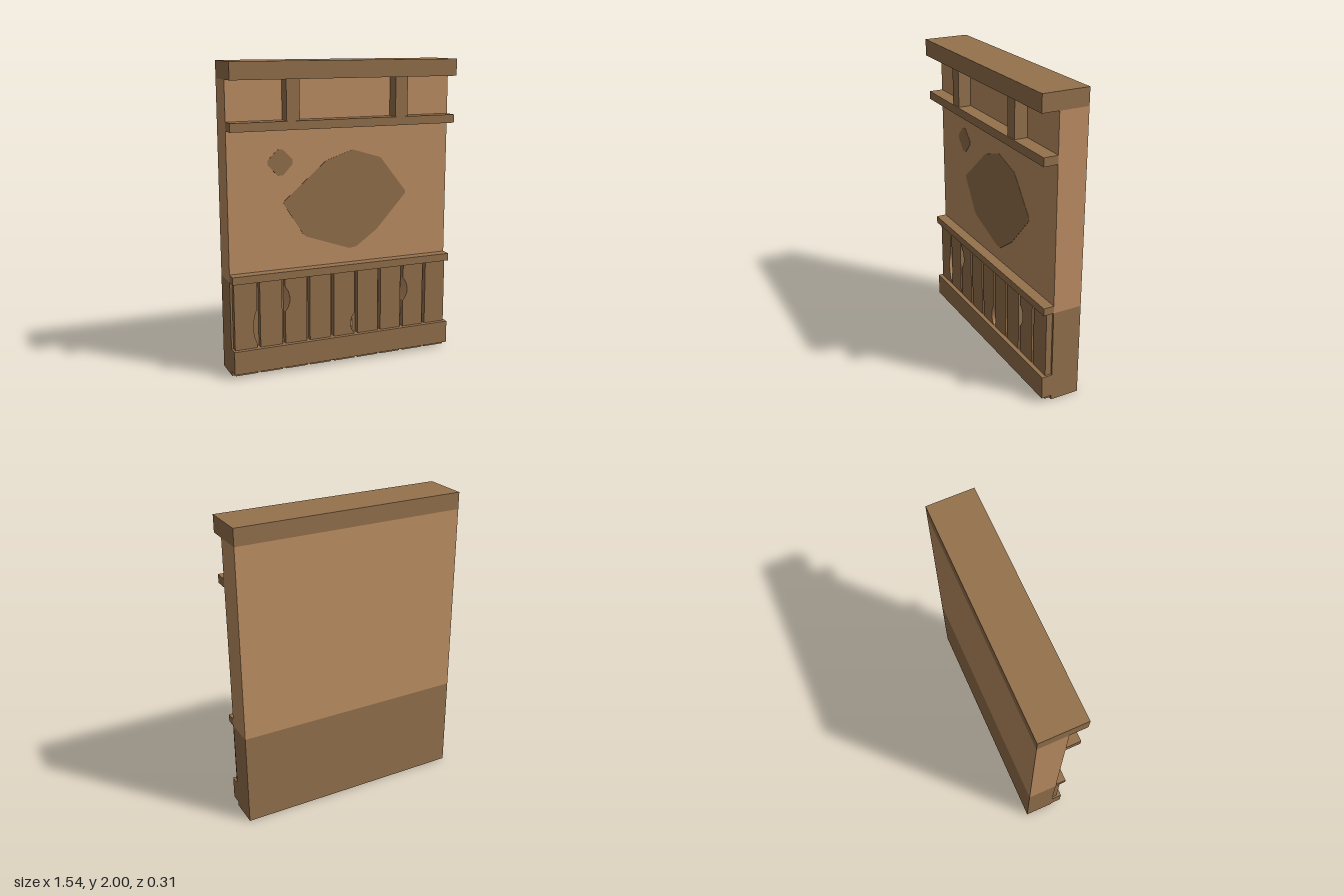
import * as THREE from 'three';

const timber = new THREE.MeshStandardMaterial({ color: 0x96724d });
timber.name = 'dark timber';
const plaster = new THREE.MeshStandardMaterial({ color: 0xc19165 });
plaster.name = 'light plaster';

const WALL_FRONT = 0.04, BACK = -0.153, HALF = 0.77;
const PLANK_FRONT = 0.081, PLANK_WIDTH = 0.149, PITCH = 0.1705;
const PLANK_BOTTOM = 0.01, PLANK_TOP = 0.63;

// Chip outline: fraction of height, fraction of depth
const CHIP = [[0, 0], [0.15, 0.55], [0.35, 0.92], [0.55, 1], [0.8, 0.65], [1, 0]];

// Chipped planks: index, side of the plank, height range, depth, slanted or square cut
const chips = [
  { plank: 0, side: 1, y0: 0.21, y1: 0.44, depth: 0.025, slanted: false },
  { plank: 2, side: -1, y0: 0.4, y1: 0.57, depth: 0.033, slanted: true },
  { plank: 4, side: 1, y0: 0.185, y1: 0.33, depth: 0.03, slanted: true },
  { plank: 7, side: -1, y0: 0.37, y1: 0.53, depth: 0.033, slanted: true },
];

export function createModel() {
  const model = new THREE.Group();
  model.name = 'wallPanel';

  const add = (name, geometry, material) => {
    const mesh = new THREE.Mesh(geometry, material);
    mesh.name = name;
    model.add(mesh);
    return mesh;
  };
  const block = (name, x0, x1, y0, y1, z0, z1, material) =>
    add(name, new THREE.BoxGeometry(x1 - x0, y1 - y0, z1 - z0), material)
      .position.set((x0 + x1) / 2, (y0 + y1) / 2, (z0 + z1) / 2);

  // Wall body and horizontal beams
  block('lowerWall', -HALF, HALF, 0, 0.625, BACK, WALL_FRONT, timber);
  block('upperWall', -HALF, HALF, 0.625, 1.89, BACK, WALL_FRONT, plaster);
  block('topBeam', -HALF, HALF, 1.89, 2, BACK, 0.153, timber);
  block('upperRail', -HALF, HALF, 1.58, 1.635, WALL_FRONT, 0.134, timber);
  block('chairRail', -HALF, HALF, 0.625, 0.675, WALL_FRONT, 0.11, timber);
  block('baseRail', -HALF, HALF, 0.03, 0.183, WALL_FRONT, 0.11, timber);

  // Short posts under the top beam
  for (const x of [-0.363, 0.382]) {
    block('post', x - 0.043, x + 0.043, 1.635, 1.89, WALL_FRONT, 0.126, timber);
  }

  // Wainscot planks, some with a chip cut from one edge
  for (let i = 0; i < 9; i++) {
    const cx = (i - 4) * PITCH;
    const chip = chips.find((c) => c.plank === i);
    if (!chip) {
      block('plank', cx - PLANK_WIDTH / 2, cx + PLANK_WIDTH / 2,
        PLANK_BOTTOM, PLANK_TOP, WALL_FRONT, PLANK_FRONT, timber);
      continue;
    }
    const { side, y0, y1, depth, slanted } = chip;
    const edge = cx + side * PLANK_WIDTH / 2;
    const far = cx - side * PLANK_WIDTH / 2;
    const cut = CHIP.map(([v, d]) => [edge - side * d * depth, y0 + v * (y1 - y0)]);
    const outline = [[far, PLANK_BOTTOM], [edge, PLANK_BOTTOM], ...cut, [edge, PLANK_TOP], [far, PLANK_TOP]];
    const shape = new THREE.Shape(outline.map(([x, y]) => new THREE.Vector2(x, y)));
    add('chippedPlank', new THREE.ExtrudeGeometry(shape,
      { depth: PLANK_FRONT - WALL_FRONT, bevelEnabled: false }), timber)
      .position.z = WALL_FRONT;

    // Exposed pale surface inside the chip
    const positions = [], index = [];
    cut.forEach(([x, y], k) => {
      positions.push(x + side * 0.0005, y, PLANK_FRONT);
      positions.push(slanted ? edge : x + side * 0.0005, y, WALL_FRONT + 0.001);
      if (k === 0) return;
      const a = 2 * k - 2, b = a + 1, c = a + 2, d = a + 3;
      if (side > 0) index.push(a, b, c, b, d, c);
      else index.push(a, c, b, b, c, d);
    });
    const face = new THREE.BufferGeometry();
    face.setAttribute('position', new THREE.Float32BufferAttribute(positions, 3));
    face.setIndex(index);
    face.computeVertexNormals();
    add('chipFace', face, plaster);
  }

  // Bare patches where the plaster has fallen away
  const patch = (name, points) => {
    const shape = new THREE.Shape(points.map(([x, y]) => new THREE.Vector2(x, y)));
    add(name, new THREE.ExtrudeGeometry(shape, { depth: 0.002, bevelEnabled: false }), timber)
      .position.z = WALL_FRONT;
  };
  patch('largePatch', [
    [-0.405, 1.115], [-0.4, 1.095], [-0.27, 0.89], [-0.25, 0.875], [0.05, 0.77], [0.1, 0.775],
    [0.25, 0.88], [0.46, 1.11], [0.46, 1.13], [0.275, 1.365], [0.075, 1.425], [-0.11, 1.365],
  ]);
  patch('smallPatch', [
    [-0.44, 1.285], [-0.405, 1.285], [-0.34, 1.355], [-0.34, 1.385],
    [-0.405, 1.45], [-0.44, 1.45], [-0.505, 1.385], [-0.505, 1.355],
  ]);

  return model;
}
